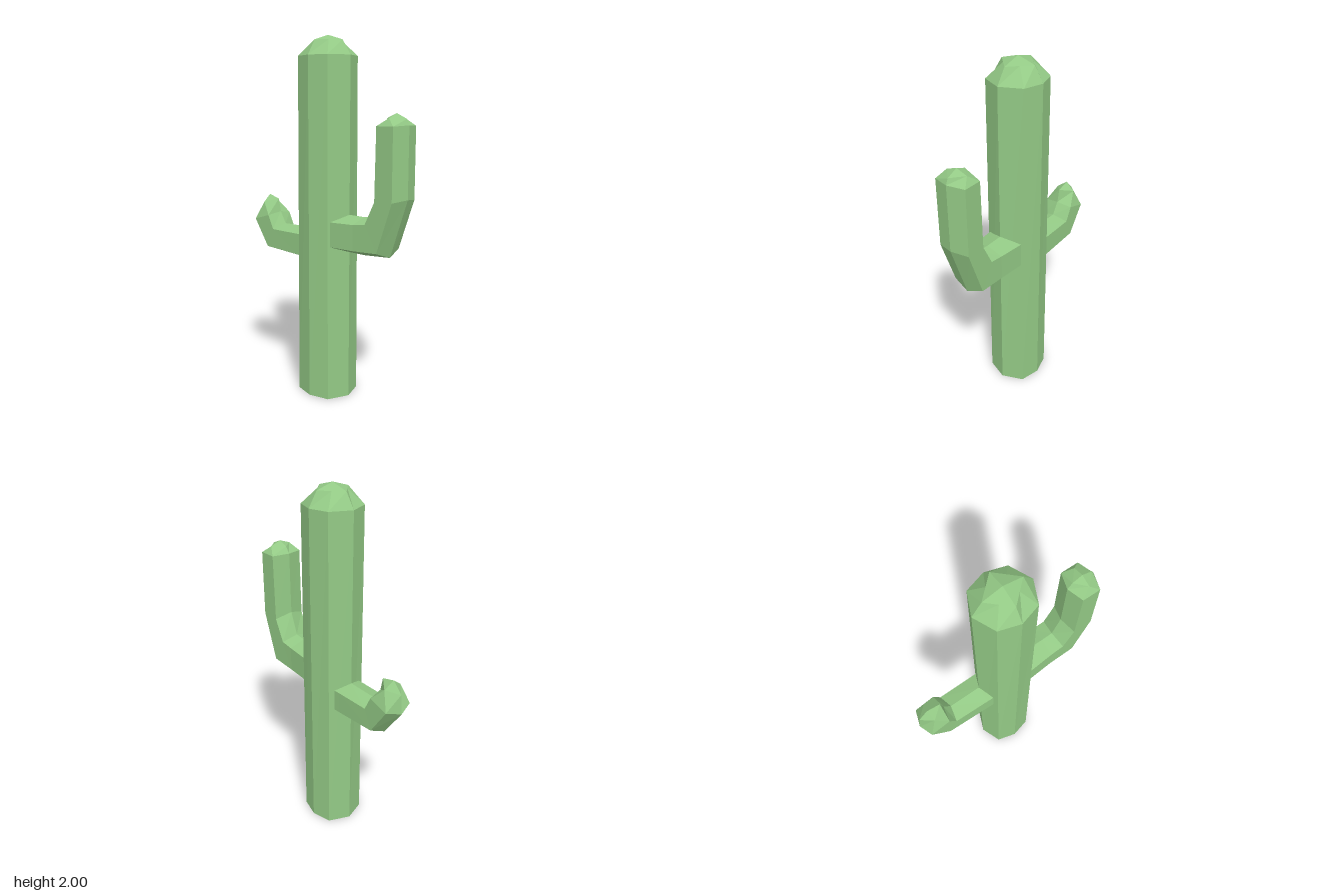
import * as THREE from 'three';

const green = new THREE.MeshStandardMaterial({ color: 0x93c985, flatShading: true });

// Skins a stack of rings (equal point counts, counter-clockwise seen from the tip).
function loft(name, rings) {
  const n = rings[0].length;
  const index = [];
  for (let r = 0; r < rings.length - 1; r++) {
    for (let i = 0; i < n; i++) {
      const a = r * n + i, b = r * n + (i + 1) % n;
      index.push(a, b, b + n, a, b + n, a + n);
    }
  }
  const geometry = new THREE.BufferGeometry();
  geometry.setAttribute('position', new THREE.Float32BufferAttribute(rings.flat(2), 3));
  geometry.setIndex(index);
  geometry.computeVertexNormals();
  const mesh = new THREE.Mesh(geometry, green);
  mesh.name = name;
  return mesh;
}

// Eight-sided ring: points on the axes (ax, az) and on the diagonals (dx, dz).
function trunkRing(y, ax, az, dx, dz) {
  return [
    [0, y, az], [dx, y, dz], [ax, y, 0], [dx, y, -dz],
    [0, y, -az], [-dx, y, -dz], [-ax, y, 0], [-dx, y, dz],
  ];
}

// Six-sided arm ring: inner ridge, inner edge, outer edge, outer ridge, half depth.
function armRing(side, [inner, innerEdge, outerEdge, outer, z]) {
  const at = ([x, y], depth) => [x * side, y, depth];
  const ring = [
    at(inner, 0), at(innerEdge, z), at(outerEdge, z),
    at(outer, 0), at(outerEdge, -z), at(innerEdge, -z),
  ];
  return side > 0 ? ring : ring.reverse();
}

function arm(name, side, sections) {
  return loft(name, sections.map((s) => armRing(side, s)));
}

export function createModel() {
  const model = new THREE.Group();
  model.name = 'cactus';

  // Trunk with closed base and diamond-shaped cap
  model.add(loft('trunk', [
    trunkRing(0, 0, 0, 0, 0),
    trunkRing(0, 0.163, 0.15, 0.115, 0.12),
    trunkRing(1.89, 0.163, 0.15, 0.11, 0.117),
    trunkRing(1.97, 0.107, 0.1, 0.0535, 0.05),
    trunkRing(2, 0, 0, 0, 0),
  ]));

  // Tall arm: root, shoulder, elbow, upright, rounded tip
  const tallTip = [0.475, 1.593];
  model.add(arm('tallArm', 1, [
    [[0.08, 1.045], [0.08, 1.01], [0.08, 0.875], [0.08, 0.838], 0.11],
    [[0.27, 1.045], [0.27, 1.015], [0.27, 0.875], [0.27, 0.838], 0.094],
    [[0.337, 1.052], [0.35, 1.025], [0.43, 0.885], [0.446, 0.852], 0.093],
    [[0.386, 1.18], [0.413, 1.15], [0.525, 1.155], [0.553, 1.165], 0.093],
    [[0.39, 1.535], [0.42, 1.53], [0.525, 1.53], [0.553, 1.535], 0.093],
    [[0.418, 1.57], [0.475, 1.57], [0.475, 1.57], [0.538, 1.566], 0.062],
    [tallTip, tallTip, tallTip, tallTip, 0],
  ]));

  // Short arm: root, elbow, stub, rounded tip leaning outward
  const shortTip = [0.49, 1.096];
  model.add(arm('shortArm', -1, [
    [[0.08, 0.937], [0.08, 0.905], [0.08, 0.787], [0.08, 0.752], 0.09],
    [[0.163, 0.937], [0.163, 0.907], [0.163, 0.787], [0.163, 0.752], 0.088],
    [[0.352, 0.932], [0.37, 0.905], [0.42, 0.795], [0.437, 0.764], 0.085],
    [[0.394, 1.0], [0.41, 0.985], [0.528, 0.95], [0.557, 0.928], 0.085],
    [[0.41, 1.075], [0.48, 1.055], [0.48, 1.055], [0.546, 1.035], 0.055],
    [shortTip, shortTip, shortTip, shortTip, 0],
  ]));

  return model;
}
